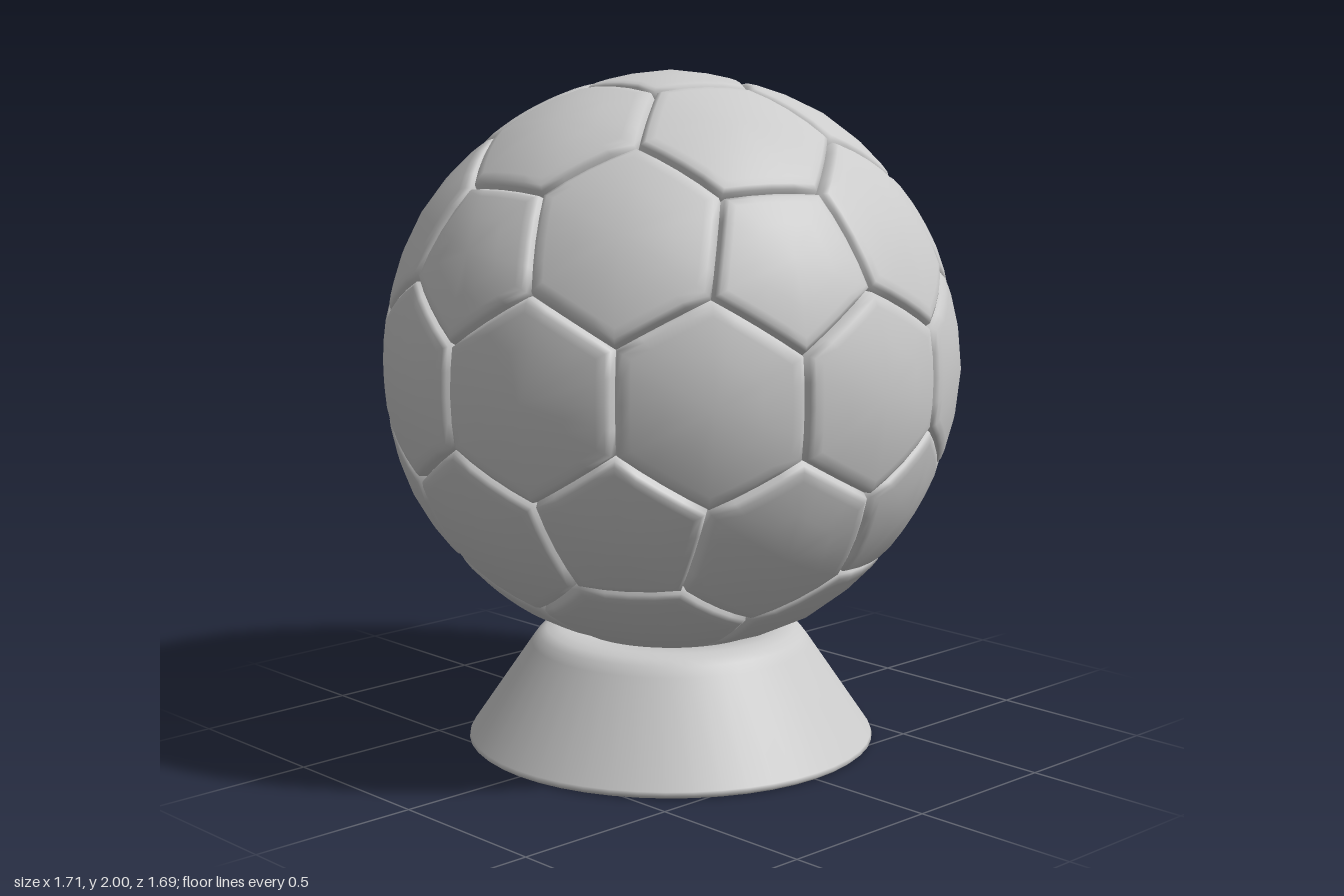
import * as THREE from 'three';

const CENTER_Y = 1.145;
const CORNER = THREE.MathUtils.degToRad(17.5); // pentagon centre to corner
const EDGE_STEPS = 4;
// panel section from centre to seam: [fraction of the way, radius]
const SECTION = [[0.5, 0.85], [0.82, 0.847], [0.91, 0.845], [0.965, 0.838], [1, 0.815]];
const CROWN = 0.855;

const polar = (p, a) => new THREE.Vector3(Math.sin(p) * Math.sin(a), Math.cos(p), Math.sin(p) * Math.cos(a));

// put corners in counter-clockwise order round the panel centre, seen from outside
function sortAround(center, corners) {
  const u = corners[0].clone().addScaledVector(center, -corners[0].dot(center)).normalize();
  const v = new THREE.Vector3().crossVectors(center, u);
  const angle = (c) => Math.atan2(c.dot(v), c.dot(u));
  return corners.sort((a, b) => angle(a) - angle(b));
}

// a domed panel with rounded edges sinking into the seams
function panelGeometry(center, corners) {
  sortAround(center, corners);
  const rim = [];
  corners.forEach((c, i) => {
    const next = corners[(i + 1) % corners.length];
    for (let k = 0; k < EDGE_STEPS; k++) rim.push(c.clone().lerp(next, k / EDGE_STEPS).normalize());
  });
  const n = rim.length;
  const points = [center.clone().multiplyScalar(CROWN)];
  const index = [];
  SECTION.forEach(([t, r], ring) => {
    rim.forEach((d, i) => {
      points.push(center.clone().lerp(d, t).setLength(r));
      const j = (i + 1) % n;
      const b = 1 + ring * n;
      if (ring === 0) index.push(0, b + i, b + j);
      else {
        const a = b - n;
        index.push(a + i, b + i, b + j, a + i, b + j, a + j);
      }
    });
  });
  const geo = new THREE.BufferGeometry().setFromPoints(points);
  geo.setIndex(index);
  geo.computeVertexNormals();
  return geo;
}

function createBall(material) {
  const ball = new THREE.Group();
  ball.name = 'ball';
  ball.position.y = CENTER_Y;

  // twelve pentagon centres
  const tilt = Math.atan(2);
  const pents = [polar(0, 0), polar(Math.PI, 0)];
  for (let k = 0; k < 5; k++) {
    pents.push(polar(tilt, k * Math.PI * 0.4));
    pents.push(polar(Math.PI - tilt, (k + 0.5) * Math.PI * 0.4));
  }
  const near = (a, b) => a.dot(b) > 0.4;

  // points where three hexagons meet
  const joints = [];
  for (let i = 0; i < 12; i++) for (let j = i + 1; j < 12; j++) for (let k = j + 1; k < 12; k++) {
    const [a, b, c] = [pents[i], pents[j], pents[k]];
    if (near(a, b) && near(b, c) && near(a, c)) joints.push(a.clone().add(b).add(c).normalize());
  }
  const touches = (p, d) => p.dot(d) > 0.75;
  const cornerToward = (p, d) => {
    const side = d.clone().addScaledVector(p, -d.dot(p)).normalize();
    return p.clone().multiplyScalar(Math.cos(CORNER)).addScaledVector(side, Math.sin(CORNER));
  };
  const addPanel = (name, center, corners) => {
    const mesh = new THREE.Mesh(panelGeometry(center, corners), material);
    mesh.name = name;
    ball.add(mesh);
  };

  pents.forEach((p, i) => {
    addPanel('pentagonPanel', p, joints.filter((d) => touches(p, d)).map((d) => cornerToward(p, d)));
    // a hexagon between each pair of neighbouring pentagons
    pents.slice(i + 1).filter((q) => near(p, q)).forEach((q) => {
      const ends = joints.filter((d) => touches(p, d) && touches(q, d));
      const corners = ends.flatMap((d) => [d.clone(), cornerToward(p, d), cornerToward(q, d)]);
      addPanel('hexagonPanel', p.clone().add(q).normalize(), corners);
    });
  });
  return ball;
}

// hollow conical stand, open underneath
function createStand(material) {
  const profile = [
    [0.27, 0.325], [0.33, 0.29], [0.51, 0.04], [0.535, 0.01], [0.56, 0],
    [0.6, 0], [0.61, 0.008], [0.607, 0.02], [0.42, 0.295], [0.4, 0.322],
    [0.375, 0.338], [0.34, 0.345], [0.28, 0.345], [0.27, 0.325],
  ].map(([r, y]) => new THREE.Vector2(r, y));
  const stand = new THREE.Mesh(new THREE.LatheGeometry(profile, 48), material);
  stand.name = 'stand';
  return stand;
}

export function createModel() {
  const material = new THREE.MeshStandardMaterial({ color: 0xcccccc, side: THREE.DoubleSide });
  const model = new THREE.Group();
  model.name = 'ballOnStand';
  model.add(createBall(material), createStand(material));
  return model;
}
